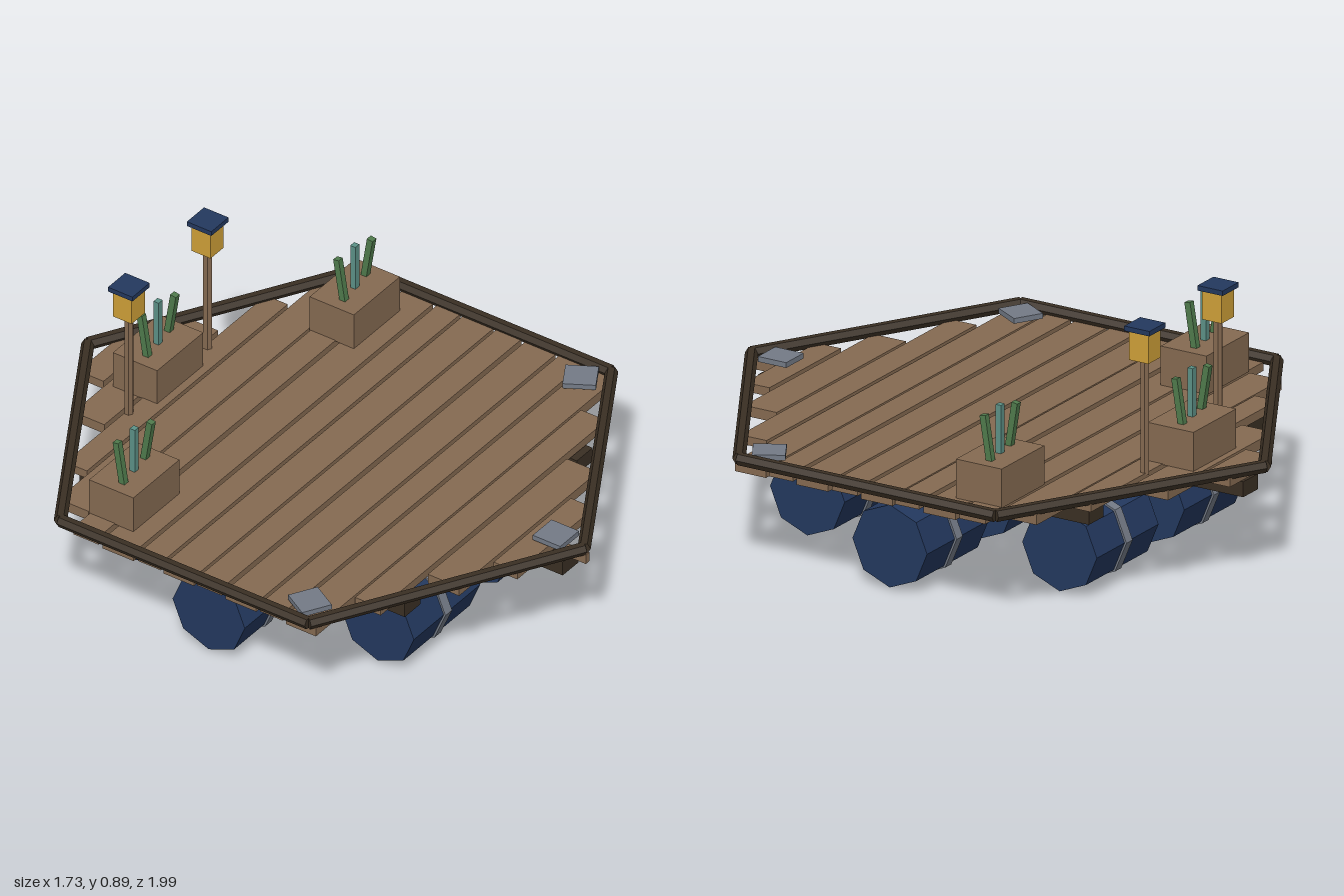
import * as THREE from 'three';

const mat = (name, color) => {
  const m = new THREE.MeshStandardMaterial({ color });
  m.name = name;
  return m;
};

export function createModel() {
  const wood = mat('plank wood', 0x856a51);
  const dark = mat('dark timber', 0x3a2f23);
  const navy = mat('navy paint', 0x23385e);
  const steel = mat('grey steel', 0x737a86);
  const amber = mat('amber lamp', 0xcfa038);
  const green = mat('leaf green', 0x4f7a4c);
  const teal = mat('leaf teal', 0x5c9187);

  const model = new THREE.Group();
  model.name = 'hexagonalRaft';

  const add = (parent, name, geometry, material, x, y, z) => {
    const mesh = new THREE.Mesh(geometry, material);
    mesh.name = name;
    mesh.position.set(x, y, z);
    parent.add(mesh);
    return mesh;
  };
  const box = (parent, name, material, w, h, d, x, y, z) =>
    add(parent, name, new THREE.BoxGeometry(w, h, d), material, x, y, z);
  // Faceted cylinder built along y
  const prism = (radius, length, sides) =>
    new THREE.CylinderGeometry(radius, radius, length, sides).toNonIndexed();
  const faceted = (radius, length, sides) => {
    const g = prism(radius, length, sides);
    g.computeVertexNormals();
    return g;
  };
  const group = (name, x, y, z) => {
    const g = new THREE.Group();
    g.name = name;
    g.position.set(x, y, z);
    model.add(g);
    return g;
  };

  // Float barrels in rows of two, three and two
  const barrelBody = faceted(0.142, 0.37, 8).rotateZ(Math.PI / 2);
  const barrelBand = faceted(0.149, 0.037, 8).rotateZ(Math.PI / 2);
  const rows = [[0.48, [-0.2625, 0.2625]], [0, [-0.525, 0, 0.525]], [-0.48, [-0.2625, 0.2625]]];
  for (const [z, xs] of rows) {
    for (const x of xs) {
      const barrel = group('floatBarrel', x, 0.15, z);
      add(barrel, 'barrelBody', barrelBody, navy, 0, 0, 0);
      add(barrel, 'barrelBand', barrelBand, steel, 0, 0, 0);
    }
  }

  // Joists under the deck
  for (const [x, half] of [[-0.48, 0.64], [0, 0.923], [0.48, 0.64]]) {
    box(model, 'joist', dark, 0.088, 0.053, half * 2, x, 0.3185, 0);
  }

  // Deck planks: back edge, front edge, half width
  const planks = [
    [-0.925, -0.825, 0.127], [-0.81, -0.688, 0.317], [-0.67, -0.585, 0.56], [-0.575, -0.455, 0.735],
    [-0.443, -0.345, 0.835], [-0.33, -0.207, 0.835], [-0.19, -0.1, 0.835], [-0.09, 0.03, 0.835],
    [0.043, 0.14, 0.835], [0.155, 0.275, 0.835], [0.29, 0.38, 0.835], [0.392, 0.51, 0.835],
    [0.52, 0.62, 0.63], [0.635, 0.758, 0.388], [0.772, 0.865, 0.215], [0.885, 0.99, 0.01],
  ];
  planks.forEach(([z0, z1, half], i) => {
    const bottom = i % 2 ? 0.345 : 0.353;
    const top = i % 2 ? 0.38 : 0.383;
    box(model, 'deckPlank', wood, half * 2, top - bottom, z1 - z0, 0, (top + bottom) / 2, (z0 + z1) / 2);
  });

  // Hexagonal rim made of six rails
  const rimRadius = 0.976;
  const rail = faceted(0.0215, rimRadius, 6).rotateX(Math.PI / 2).rotateZ(Math.PI / 2);
  const flatOnTop = new THREE.Box3().setFromBufferAttribute(rail.getAttribute('position'));
  if (flatOnTop.max.y > 0.0205) rail.rotateZ(Math.PI / 2);
  for (let i = 0; i < 6; i++) {
    const a = (i * Math.PI) / 3;
    const apothem = rimRadius * Math.cos(Math.PI / 6);
    const m = add(model, 'rimRail', rail, dark, Math.cos(a) * apothem, 0.395, -Math.sin(a) * apothem);
    m.rotation.y = a;
  }

  // Steel corner plates at the front three corners
  for (const [x, z, turn] of [[-0.755, 0.43, -1], [0, 0.865, 0], [0.755, 0.43, 1]]) {
    const plate = box(model, 'cornerPlate', steel, 0.105, 0.018, 0.108, x, 0.401, z);
    plate.rotation.y = (turn * Math.PI) / 6;
  }

  // Planter boxes with three stalks each
  for (const [x, z] of [[-0.615, -0.36], [0, -0.7], [0.615, -0.36]]) {
    const planter = group('planter', x, 0, z);
    box(planter, 'planterBox', wood, 0.257, 0.134, 0.174, 0, 0.447, 0);
    box(planter, 'middleStalk', teal, 0.022, 0.18, 0.02, 0, 0.59, 0);
    for (const s of [-1, 1]) {
      const stalk = box(planter, 'sideStalk', green, 0.022, 0.16, 0.022, s * 0.076, 0.586, 0);
      stalk.rotation.x = s * 0.16;
    }
  }

  // Lantern posts
  for (const x of [-0.22, 0.22]) {
    const lantern = group('lantern', x, 0, -0.66);
    add(lantern, 'lanternPost', faceted(0.016, 0.4, 6), wood, 0, 0.575, 0);
    box(lantern, 'lanternLight', amber, 0.074, 0.102, 0.074, 0, 0.822, 0);
    box(lantern, 'lanternRoof', navy, 0.096, 0.017, 0.096, 0, 0.88, 0);
  }

  return model;
}
